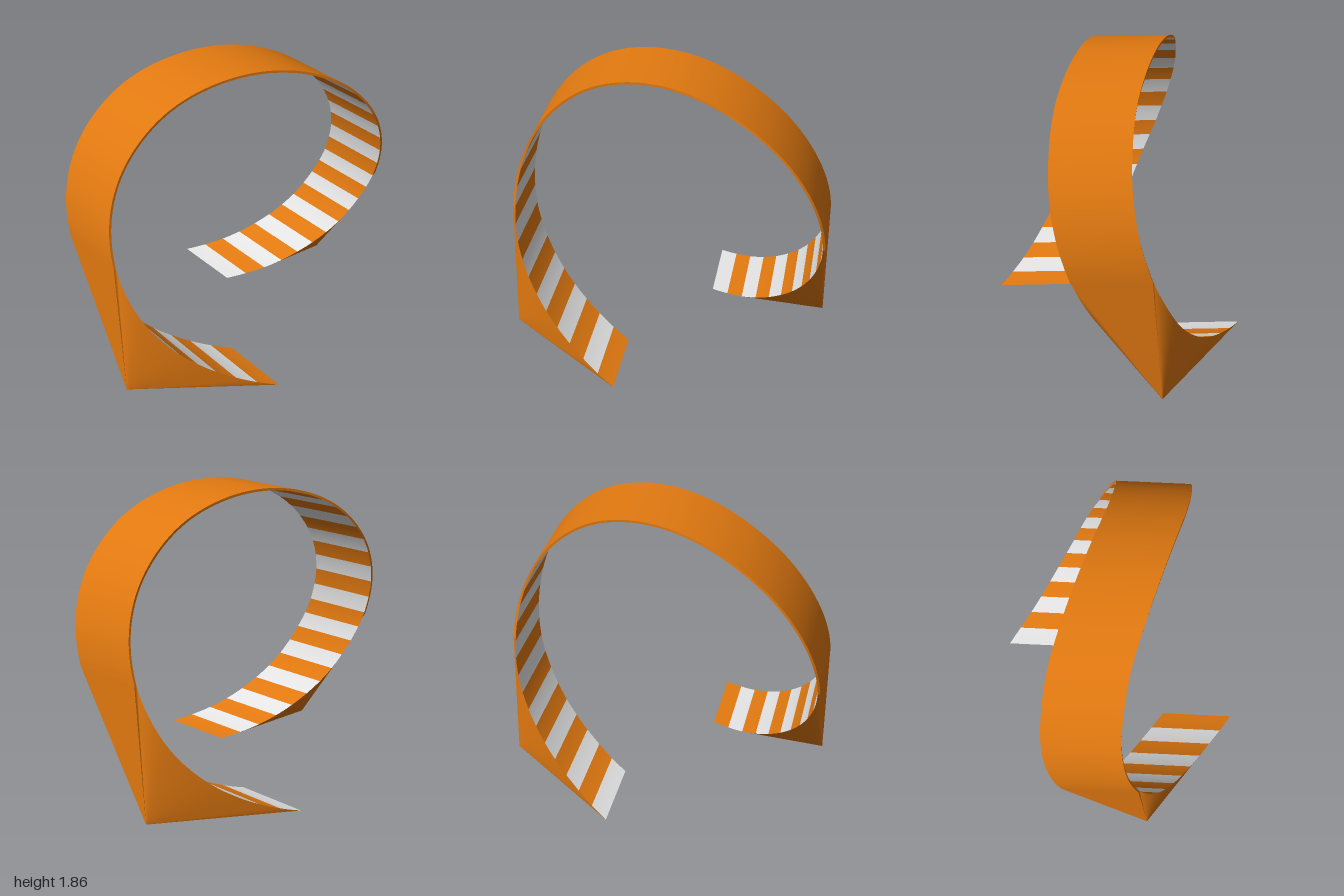
import * as THREE from 'three';

const orange = new THREE.MeshStandardMaterial({ color: 0xe07810 });
orange.name = 'orange';
const lightGrey = new THREE.MeshStandardMaterial({ color: 0xe2e2e2 });
lightGrey.name = 'lightGrey';

const CENTRE_Y = 0.86, OUTER = 1, INNER = 0.985, LOWER = 0.885, HALF_WIDTH = 0.235;
const END = 166.35; // degrees from the top to where the band meets the ground
const STRIPES = 48, STEPS = 4;

// Sideways drift of the band, every 15 degrees from the top
const DRIFT = [0, -0.075, -0.14, -0.172, -0.176, -0.14, -0.065, 0.03, 0.13, 0.25, 0.385, 0.54, 0.69];

function drift(t) {
  const at = (i) => (i < 0 ? -DRIFT[-i] : DRIFT[Math.min(i, DRIFT.length - 1)]);
  const s = Math.abs(t) / 15, i = Math.floor(s), f = s - i;
  const [a, b, c, d] = [at(i - 1), at(i), at(i + 1), at(i + 2)];
  const x = b + 0.5 * f * (c - a + f * (2 * a - 5 * b + 4 * c - d + f * (3 * (b - c) + d - a)));
  return Math.sign(t) * x;
}

// Point on the band: t in degrees from the top towards the front, side is -1 or 1
function point(t, side, outer) {
  const r = THREE.MathUtils.degToRad(t), c = Math.cos(r);
  const radius = outer ? OUTER : INNER;
  const y = CENTRE_Y + c * (c < 0 && !outer ? LOWER : radius);
  return [drift(t) + side * HALF_WIDTH, Math.max(0, y), radius * Math.sin(r)];
}

// Surface between two rows of points
function strip(rowA, rowB) {
  const positions = [], index = [];
  rowA.forEach((a, i) => {
    positions.push(...a, ...rowB[i]);
    if (i) {
      const k = 2 * i;
      index.push(k - 2, k, k - 1, k, k + 1, k - 1);
    }
  });
  const g = new THREE.BufferGeometry();
  g.setAttribute('position', new THREE.Float32BufferAttribute(positions, 3));
  g.setIndex(index);
  g.computeVertexNormals();
  return g;
}

function triangle(a, b, c) {
  const g = new THREE.BufferGeometry();
  g.setAttribute('position', new THREE.Float32BufferAttribute([...a, ...b, ...c], 3));
  g.computeVertexNormals();
  return g;
}

function add(parent, name, geometry, material) {
  const mesh = new THREE.Mesh(geometry, material);
  mesh.name = name;
  parent.add(mesh);
}

const range = (from, to, n) => Array.from({ length: n + 1 }, (_, i) => from + ((to - from) * i) / n);

// Solid wedge filling the space between the band, the ground and one corner
function createFoot(name) {
  const foot = new THREE.Group();
  foot.name = name;
  const corner = [0.24, 0, 1];
  const edge = (side) => [point(90, side, true), ...range(90, END, 40).map((t) => point(t, side, false))];
  const left = edge(1), right = edge(-1);
  const corners = left.map(() => corner);
  add(foot, 'footLeftSide', strip(corners, left), orange);
  add(foot, 'footRightSide', strip(right, corners), orange);
  add(foot, 'footFace', triangle(right[0], corner, left[0]), orange);
  add(foot, 'footBase', triangle(corner, right.at(-1), left.at(-1)), orange);
  return foot;
}

export function createModel() {
  const model = new THREE.Group();
  model.name = 'loopArch';

  // Outer shell and the thin edges of the upper half
  const upper = range(-90, 90, 96);
  const row = (side, outer) => upper.map((t) => point(t, side, outer));
  add(model, 'outerBand', strip(row(-1, true), row(1, true)), orange);
  add(model, 'leftEdge', strip(row(1, true), row(1, false)), orange);
  add(model, 'rightEdge', strip(row(-1, false), row(-1, true)), orange);

  // Inner surface, striped from the front end to the back end
  const bend = 31;
  const inner = range(0, STRIPES, STRIPES * STEPS).map((s) =>
    s < bend
      ? THREE.MathUtils.mapLinear(s, 0, bend, END, -50.5)
      : THREE.MathUtils.mapLinear(s, bend, STRIPES, -50.5, -END));
  const lining = strip(
    inner.map((t) => point(t, -1, false)),
    inner.map((t) => point(t, 1, false)));
  for (let i = 0; i < STRIPES; i++) lining.addGroup(i * STEPS * 6, STEPS * 6, i % 2);
  add(model, 'stripedLining', lining, [orange, lightGrey]);

  // Matching feet, turned half a circle apart
  const backFoot = createFoot('backFoot');
  backFoot.rotation.y = Math.PI;
  model.add(createFoot('frontFoot'), backFoot);
  return model;
}
